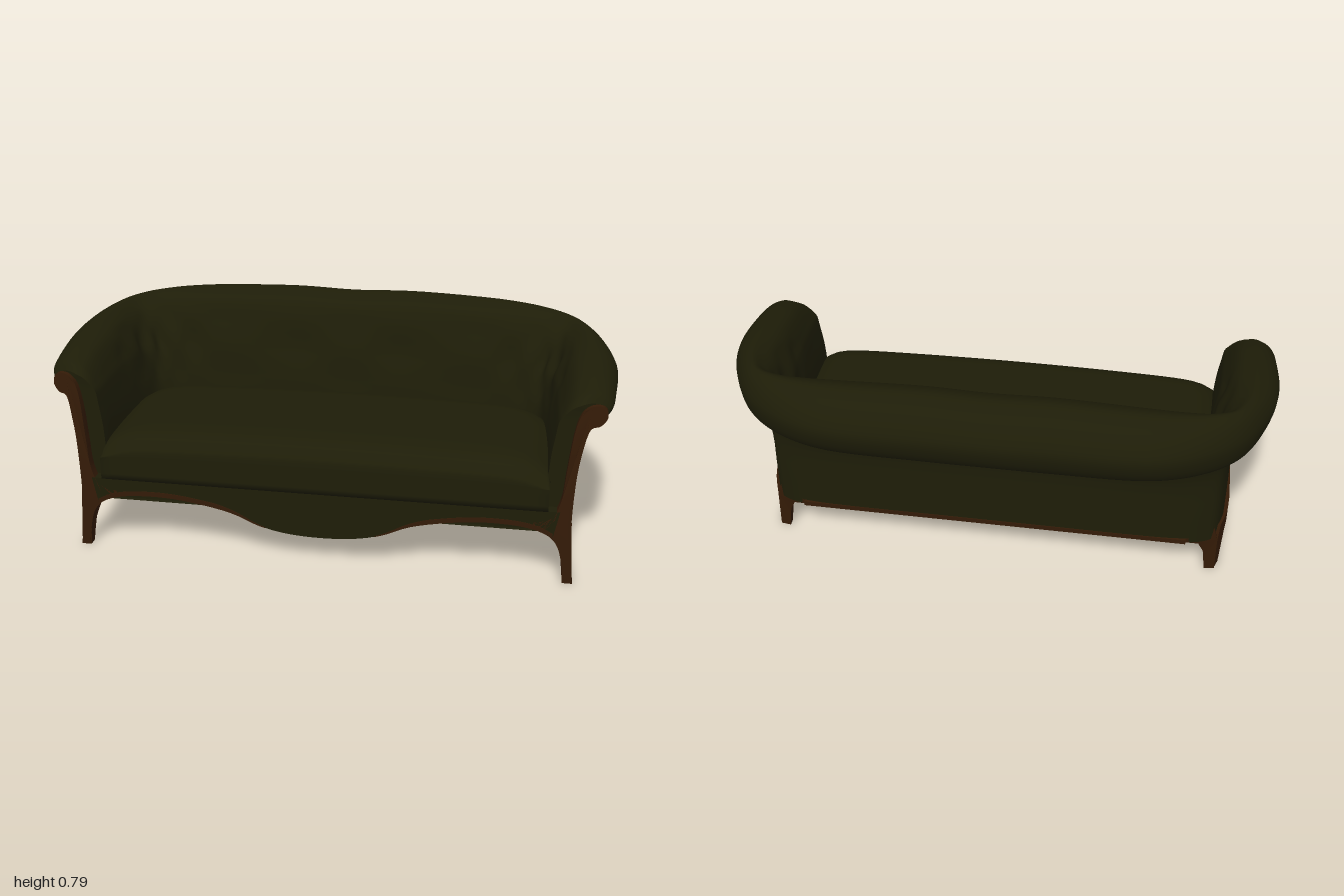
import * as THREE from 'three';
import { mergeVertices, toCreasedNormals } from 'three/addons/utils/BufferGeometryUtils.js';

const fabric = new THREE.MeshStandardMaterial({ color: 0x1e1d08, side: THREE.DoubleSide });
fabric.name = 'olive upholstery';
const wood = new THREE.MeshStandardMaterial({ color: 0x341b07, side: THREE.DoubleSide });
wood.name = 'dark wood';

// Half-plan stations from arm front to back centre:
// wall x,z | roll outer x,z | seat edge x,z | base, roll bottom, roll top heights
const STATIONS = [
  [.87, .395, .968, .36, .78, .405, .17, .59, .652],
  [.87, .36, .982, .335, .777, .37, .17, .585, .68],
  [.865, .27, .992, .25, .775, .28, .17, .59, .703],
  [.86, .10, 1.0, .08, .765, .11, .17, .592, .725],
  [.855, -.04, .985, -.04, .75, -.01, .17, .575, .738],
  [.845, -.13, .955, -.13, .735, -.07, .16, .56, .745],
  [.82, -.19, .90, -.235, .71, -.10, .15, .55, .75],
  [.77, -.215, .82, -.32, .67, -.12, .145, .543, .758],
  [.68, -.23, .70, -.395, .61, -.13, .145, .538, .767],
  [.55, -.235, .56, -.44, .52, -.133, .145, .535, .775],
  [.22, -.235, .22, -.455, .22, -.137, .145, .535, .786],
  [0, -.235, 0, -.455, 0, -.137, .145, .535, .78],
];

// Section: s > 0 runs wall to roll edge, s < 0 wall to seat edge;
// level 0..1 is base to roll bottom, 1..2 roll bottom to top
const SECTION = [
  [0, 0], [0, .35], [0, .65], [.08, .83], [.2, .92], [.36, 1], [.6, 1.03], [.86, 1.14], [1, 1.48],
  [.93, 1.68], [.76, 1.86], [.56, 1.96], [.36, 2], [.08, 1.91], [-.18, 1.76], [-.42, 1.48],
  [-.62, 1.15], [-.8, .88], [-.93, .68], [-1, .35], [-1, .1],
];

function add(group, name, geometry, material) {
  const mesh = new THREE.Mesh(geometry, material);
  mesh.name = name;
  group.add(mesh);
  return mesh;
}

function gridGeometry(rows) {
  const n = rows[0].length, index = [];
  for (let i = 0; i < rows.length - 1; i++)
    for (let j = 0; j < n - 1; j++) {
      const a = i * n + j, b = a + n;
      index.push(a, b, a + 1, b, b + 1, a + 1);
    }
  const g = new THREE.BufferGeometry().setFromPoints(rows.flat());
  g.setIndex(index);
  g.computeVertexNormals();
  return g;
}

// Wrap-around shell of arms and back with rolled top
function shellRows() {
  const mirrored = STATIONS.slice(0, -1).reverse().map(s => s.map((v, i) => (i < 6 && i % 2 === 0 ? -v : v)));
  const all = [...STATIONS, ...mirrored];
  const curve = pick => new THREE.CatmullRomCurve3(all.map(pick));
  const V = (x, y, z) => new THREE.Vector3(x, y, z);
  const wall = curve(s => V(s[0], 0, s[1])), outer = curve(s => V(s[2], 0, s[3]));
  const inner = curve(s => V(s[4], 0, s[5])), heights = curve(s => V(s[6], s[7], s[8]));
  const profile = new THREE.CatmullRomCurve3(SECTION.map(p => V(p[0], p[1], 0)), false, 'centripetal').getPoints(59);
  const rows = [];
  for (let i = 0; i <= 110; i++) {
    const t = i / 110, w = wall.getPoint(t), o = outer.getPoint(t), n = inner.getPoint(t), h = heights.getPoint(t);
    rows.push(profile.map((p, j) => {
      let s = p.x;
      // Soft tufting on the inside face
      if (j > 41 && j < 53 && i > 14 && i < 96)
        s += .09 * Math.sin((j - 41) / 12 * Math.PI) * Math.cos((i - 55) * .7) * Math.cos((j - 41) * .55);
      const q = w.clone().lerp(s > 0 ? o : n, Math.abs(s));
      q.y = p.y < 1 ? h.x + (h.y - h.x) * p.y : h.y + (h.z - h.y) * (p.y - 1);
      return q;
    }));
  }
  return rows;
}

// Fills an open end of the shell by pairing outer and inner section points
function endCap(row) {
  return gridGeometry(row.slice(0, row.length / 2).map((p, i) => [p, row[row.length - 1 - i]]));
}

const vec2 = pts => pts.map(p => new THREE.Vector2(p[0], p[1]));

function slab(shape, depth, rule) {
  const g = new THREE.ExtrudeGeometry(shape, { depth, bevelEnabled: false, curveSegments: 10 });
  const p = g.attributes.position, v = new THREE.Vector3();
  for (let i = 0; i < p.count; i++) {
    v.fromBufferAttribute(p, i);
    rule(v);
    p.setXYZ(i, v.x, v.y, v.z);
  }
  return toCreasedNormals(g, .6);
}

// Crowned seat cushion with softened edges and narrowed back corners
function cushionGeometry() {
  let g = new THREE.BoxGeometry(1.58, .165, .592, 40, 8, 20);
  g.deleteAttribute('uv');
  g.deleteAttribute('normal');
  g = mergeVertices(g);
  const p = g.attributes.position;
  for (let i = 0; i < p.count; i++) {
    let x = p.getX(i), y = p.getY(i), z = p.getZ(i);
    const u = x / .79, w = z / .296, k = Math.max(0, y / .0825);
    const crown = .016 * (1 - u * u) - .035 * Math.pow(Math.abs(u), 16) - .05 * Math.pow(Math.abs(w), 10);
    const bulge = 1 - .018 * Math.pow(k, 3);
    x *= bulge * (1 - .1 * Math.pow(Math.max(0, -w - .35) / .65, 2));
    p.setXYZ(i, x, y + .3575 + k * crown, z * bulge + .156);
  }
  g.computeVertexNormals();
  return g;
}

export function createModel() {
  const sofa = new THREE.Group();
  sofa.name = 'sofa';

  // Upholstered shell
  const rows = shellRows();
  add(sofa, 'rolledArmsAndBack', gridGeometry(rows), fabric);
  add(sofa, 'leftArmEnd', endCap(rows[0]), fabric);
  add(sofa, 'rightArmEnd', endCap(rows[rows.length - 1]), fabric);

  // Seat
  add(sofa, 'seatCushion', cushionGeometry(), fabric);
  const deck = add(sofa, 'seatDeck', new THREE.BoxGeometry(1.57, .09, .58), fabric);
  deck.position.set(0, .228, .115);

  // Serpentine front apron
  const curveHalf = [[.81, .17], [.76, .195], [.68, .21], [.56, .212], [.44, .198], [.32, .172], [.22, .13], [.12, .107]];
  const edge = new THREE.SplineCurve(vec2([...curveHalf, [0, .1], ...curveHalf.slice().reverse().map(p => [-p[0], p[1]])])).getPoints(64);
  const apron = new THREE.Shape([...vec2([[-.83, .272], [.83, .272]]), ...edge]);
  add(sofa, 'frontApron', slab(apron, .04, v => { v.z += .402; }), fabric);

  // Upholstered bottom following the wall plan, with a wooden panel below it
  const plan = STATIONS.map(s => [s[0] - .015, -s[1] - .01]);
  const base = new THREE.Shape(vec2([...plan, ...plan.slice(0, -1).reverse().map(p => [-p[0], p[1]])]));
  const bottom = add(sofa, 'bottomCover', new THREE.ShapeGeometry(base), fabric);
  bottom.rotation.x = -Math.PI / 2;
  bottom.position.y = .175;
  const panelShape = new THREE.Shape(vec2([[-.66, .205], [-.74, .15], [-.74, -.17], [-.71, -.25], [-.63, -.28],
    [.63, -.28], [.71, -.25], [.74, -.17], [.74, .15], [.66, .205]]));
  const panel = add(sofa, 'undersidePanel', new THREE.ShapeGeometry(panelShape), wood);
  panel.rotation.x = -Math.PI / 2;
  panel.position.y = .168;

  // Back lower edge: fabric lining inside, wooden rail outside
  const lining = add(sofa, 'backLining', new THREE.BoxGeometry(1.44, .05, .018), fabric);
  lining.position.set(0, .17, -.211);
  const backRail = add(sofa, 'backRail', new THREE.BoxGeometry(1.44, .018, .018), wood);
  backRail.position.set(0, .155, -.229);

  // Wooden frame for one side, mirrored by the x rule
  for (const side of [1, -1]) {
    const frame = new THREE.Group();
    frame.name = side > 0 ? 'leftFrame' : 'rightFrame';
    sofa.add(frame);

    // Front post: leg, stem and scroll, swept back towards the scroll
    const post = new THREE.Shape();
    post.moveTo(.857, 0);
    post.lineTo(.887, 0);
    post.splineThru(vec2([[.874, .1], [.87, .25], [.876, .4], [.89, .5], [.91, .568], [.942, .578], [.964, .602],
      [.96, .632], [.935, .646], [.902, .642], [.876, .615], [.858, .55], [.842, .42], [.83, .31], [.80, .245], [.74, .225]]));
    post.lineTo(.74, .208);
    post.splineThru(vec2([[.80, .175], [.835, .12], [.857, 0]]));
    add(frame, 'frontPost', slab(post, .035, v => {
      v.z += .407 - .3 * Math.pow(Math.max(0, v.y - .3), 2) - .4 * Math.max(0, v.x - .89) * Math.min(1, v.y / .5);
      v.x *= side;
    }), wood);

    // Trim along the apron edge
    const run = edge.filter(p => p.x > .18);
    const trim = new THREE.Shape([...run, ...run.slice().reverse()
      .map(p => new THREE.Vector2(p.x, p.y + .018 * Math.min(1, (p.x - .17) / .2)))]);
    add(frame, 'apronTrim', slab(trim, .044, v => { v.x *= side; v.z += .4; }), wood);

    // Arched side rail with back leg, drawn in z and y
    const rail = new THREE.Shape(vec2([[.44, 0], [.408, 0], [.405, .04], [.397, .09], [.38, .112], [.32, .136],
      [.25, .15], [.1, .157], [0, .15], [-.07, .136], [-.105, .12], [-.15, 0], [-.19, 0], [-.187, .14], [-.17, .2],
      [-.14, .2], [-.105, .2], [-.07, .199], [0, .2], [.1, .195], [.25, .192], [.32, .195], [.38, .205], [.4, .215], [.44, .215]]));
    add(frame, 'sideRailAndBackLeg', slab(rail, .035, v => {
      const z = v.x;
      const splay = z > .38 ? .014 * Math.max(0, 1 - v.y / .12) : 0;
      v.set(side * (.837 + v.z + splay - Math.pow(Math.max(0, -z), 2)), v.y, z);
    }), wood);

    // Back face of the rear leg with its corner bracket
    const bracket = new THREE.Shape(vec2([[.838, 0], [.80, 0], [.788, .09], [.768, .13], [.72, .147], [.72, .163],
      [.77, .175], [.82, .2], [.836, .14]]));
    add(frame, 'rearLegBracket', slab(bracket, .03, v => {
      v.z += -.19 - .4 * Math.max(0, .815 - v.x);
      v.x *= side;
    }), wood);
  }
  return sofa;
}
